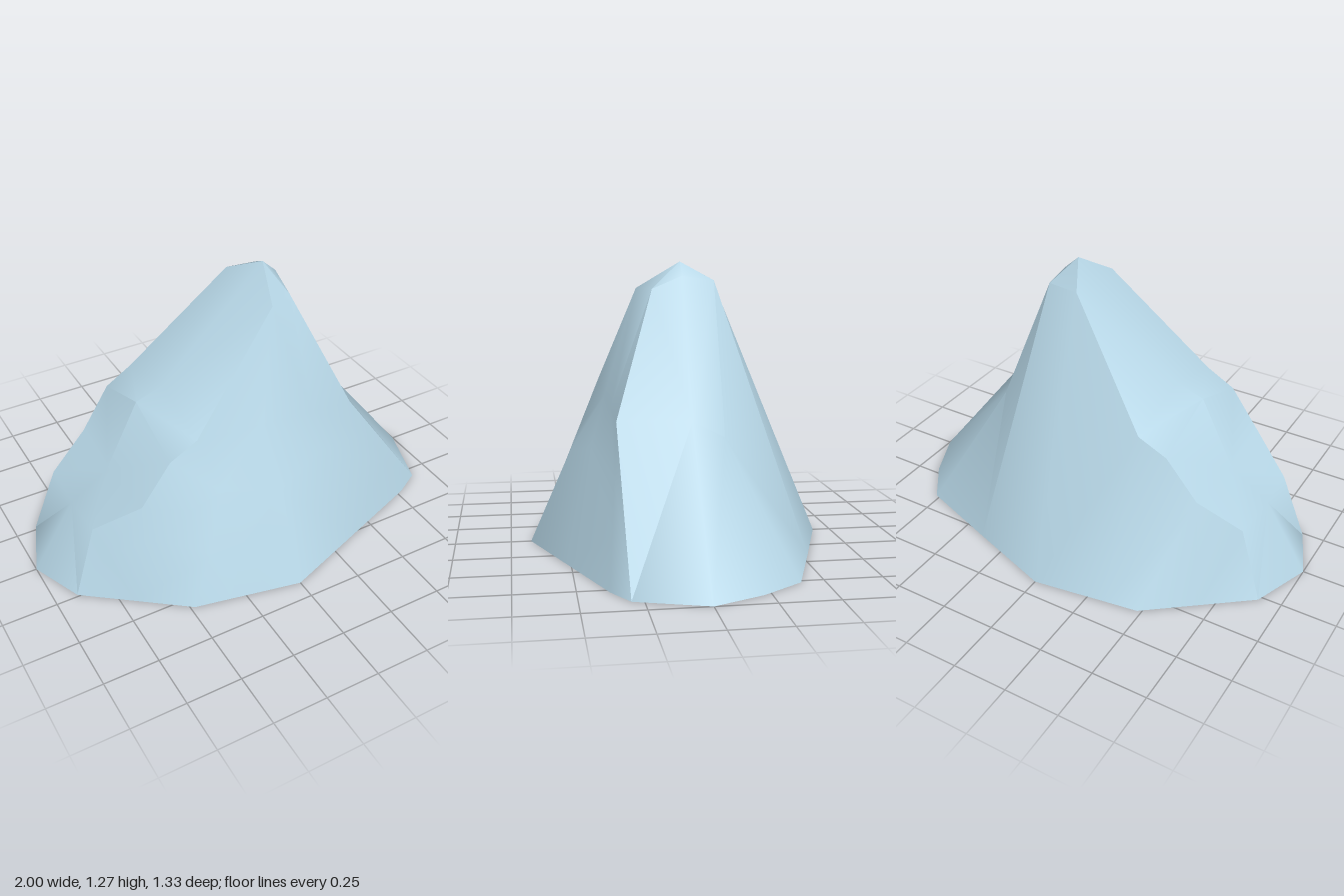
import * as THREE from 'three';
import { toCreasedNormals } from 'three/addons/utils/BufferGeometryUtils.js';

// Cross-sections along x: base front, front crease, ridge, back crease, base back,
// and where the front face is hollowed, its two points between base and crease
const sections = [
  [[-0.9, 0, 0.24], [-0.9, 0, 0.24], [-1, 0, 0], [-0.9, 0, -0.27], [-0.9, 0, -0.27]],
  [[-0.69, 0, 0.4], [-0.79, 0.315, 0.21], [-0.8, 0.315, 0], [-0.79, 0.315, -0.24], [-0.69, 0, -0.435]],
  [[-0.48, 0, 0.56], [-0.6, 0.44, 0.32], [-0.62, 0.435, 0], [-0.6, 0.44, -0.31], [-0.48, 0, -0.6]],
  [[-0.32, 0, 0.593], [-0.46, 0.63, 0.32], [-0.46, 0.745, 0], [-0.46, 0.63, -0.33], [-0.32, 0, -0.623]],
  [[-0.16, 0, 0.627], [-0.33, 0.7, 0.32], [-0.33, 0.79, 0], [-0.33, 0.7, -0.34], [-0.16, 0, -0.647]],
  [[0, 0, 0.66], [0.11, 1.155, 0.185], [0.17, 1.27, 0], [0.08, 1.19, -0.16], [0, 0, -0.67],
    [0, 0.41, 0.48], [0, 0.67, 0.318]],
  [[0.39, 0, 0.515], [0.23, 1.155, 0.13], [0.235, 1.21, 0], [0.23, 1.19, -0.14], [0.39, 0, -0.535],
    [0.25, 0.48, 0.4], [0.25, 0.645, 0.315]],
  [[0.78, 0, 0.37], [0.46, 0.62, 0.31], [0.51, 0.62, 0], [0.5, 0.55, -0.14], [0.77, 0, -0.4]],
  [[0.9, 0, 0.3], [0.9, 0, 0.3], [1, 0, 0], [0.9, 0, -0.22], [0.9, 0, -0.22]],
].map((s) => s.map((p) => new THREE.Vector3(...p)));

// Order one section from the front base over the ridge to the back base
function column([baseFront, front, ridge, back, baseBack, low, high]) {
  return [
    baseFront,
    low ?? baseFront.clone().lerp(front, 1 / 3),
    high ?? baseFront.clone().lerp(front, 2 / 3),
    front, ridge, back, baseBack,
  ];
}

// Skin the columns, cutting each quad along its shorter diagonal
function skin(columns) {
  const positions = [];
  const triangle = (a, b, c) => {
    if (new THREE.Triangle(a, b, c).getArea() < 1e-6) return;
    for (const p of [a, b, c]) positions.push(p.x, p.y, p.z);
  };
  for (let c = 0; c < columns.length - 1; c++) {
    for (let r = 0; r < columns[c].length - 1; r++) {
      const [p, q] = [columns[c][r], columns[c + 1][r]];
      const [s, t] = [columns[c][r + 1], columns[c + 1][r + 1]];
      if (p.distanceTo(t) < q.distanceTo(s)) {
        triangle(p, q, t);
        triangle(p, t, s);
      } else {
        triangle(p, q, s);
        triangle(q, t, s);
      }
    }
  }
  const geometry = new THREE.BufferGeometry();
  geometry.setAttribute('position', new THREE.Float32BufferAttribute(positions, 3));
  return toCreasedNormals(geometry, 0.75);
}

export function createModel() {
  const group = new THREE.Group();
  group.name = 'iceberg';
  const ice = new THREE.MeshStandardMaterial({ color: 0xb8d8e8 });
  ice.name = 'paleIce';

  // Peaked body
  const body = new THREE.Mesh(skin(sections.map(column)), ice);
  body.name = 'iceBody';
  group.add(body);

  // Flat underside
  const outline = [
    ...sections.map((s) => s[0]),
    new THREE.Vector3(1, 0, 0),
    ...sections.map((s) => s[4]).reverse(),
    new THREE.Vector3(-1, 0, 0),
  ].map((p) => new THREE.Vector2(p.x, p.z));
  const baseGeometry = new THREE.ShapeGeometry(new THREE.Shape(outline));
  baseGeometry.rotateX(Math.PI / 2);
  const base = new THREE.Mesh(baseGeometry, ice);
  base.name = 'underside';
  group.add(base);

  return group;
}
